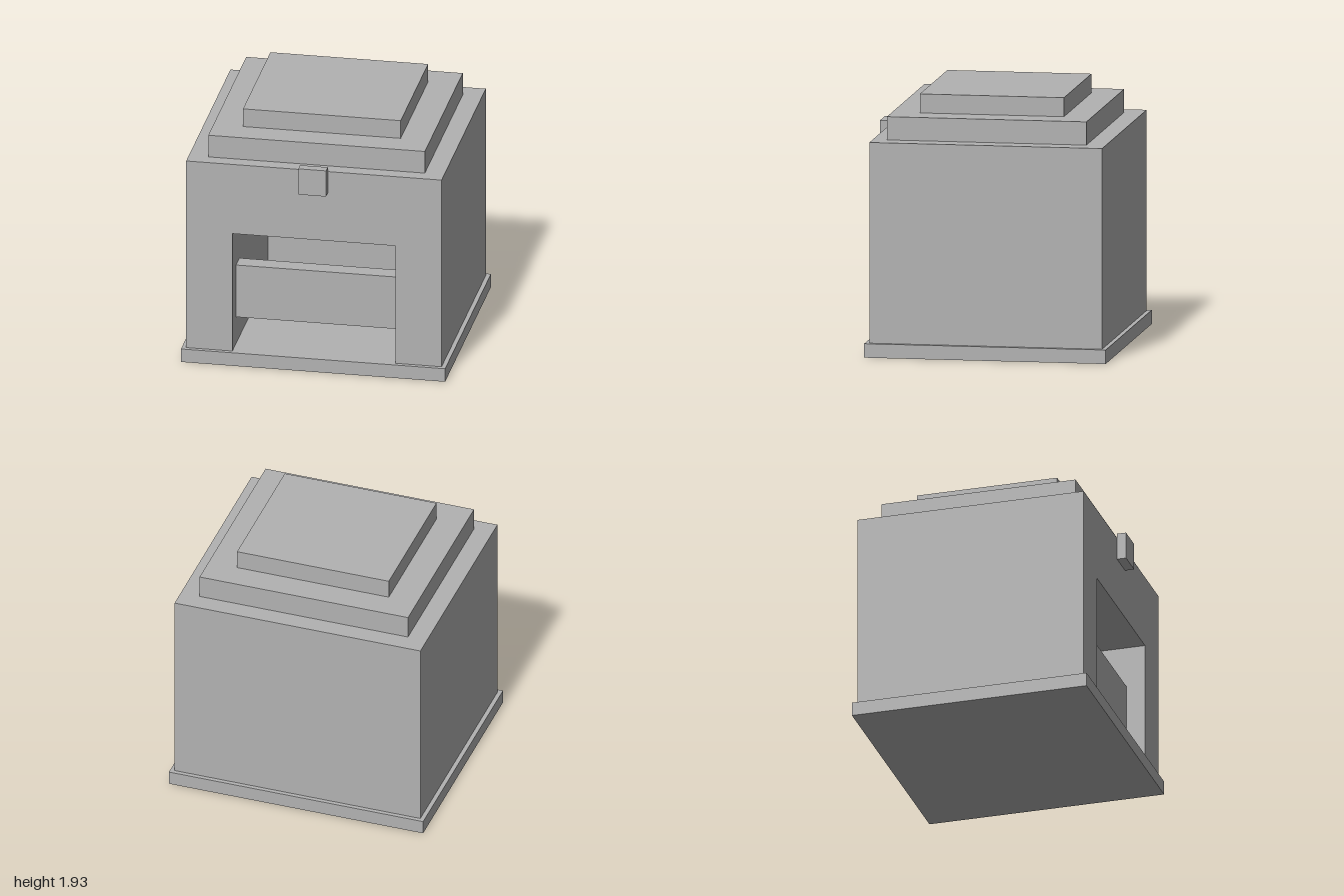
import * as THREE from 'three';

export function createModel() {
  const group = new THREE.Group();
  const stone = new THREE.MeshStandardMaterial({ color: 0xb2b2b2 });
  stone.name = 'grey stone';

  const add = (name, geometry) => {
    const mesh = new THREE.Mesh(geometry, stone);
    mesh.name = name;
    group.add(mesh);
    return mesh;
  };

  // Box given by its lower and upper limits on each axis
  const block = (name, [x0, x1], [y0, y1], [z0, z1]) => {
    const mesh = add(name, new THREE.BoxGeometry(x1 - x0, y1 - y0, z1 - z0));
    mesh.position.set((x0 + x1) / 2, (y0 + y1) / 2, (z0 + z1) / 2);
  };

  const baseTop = 0.105, bodyTop = 1.615;
  const bodyHalf = 0.967, openingHalf = 0.617, openingTop = 1.055;
  const front = 0.86, recessBack = -0.55, back = -0.897;

  // Base slab, which is also the floor of the recess
  block('base', [-1, 1], [0, baseTop], [-0.93, 0.893]);

  // Body with a deep opening in the front
  const arch = new THREE.Shape([
    [-bodyHalf, baseTop], [-openingHalf, baseTop],
    [-openingHalf, openingTop], [openingHalf, openingTop],
    [openingHalf, baseTop], [bodyHalf, baseTop],
    [bodyHalf, bodyTop], [-bodyHalf, bodyTop],
  ].map(([x, y]) => new THREE.Vector2(x, y)));
  add('body', new THREE.ExtrudeGeometry(arch, { depth: front - recessBack, bevelEnabled: false }))
    .position.z = recessBack;
  block('bodyBack', [-bodyHalf, bodyHalf], [baseTop, bodyTop], [back, recessBack]);

  // Bar across the opening
  block('crossbar', [-openingHalf, openingHalf], [0.32, 0.74], [0.58, 0.715]);

  // Stepped roof
  block('lowerRoof', [-0.82, 0.82], [bodyTop, 1.79], [-0.753, 0.753]);
  block('upperRoof', [-0.597, 0.597], [1.79, 1.933], [-0.545, 0.543]);

  // Small block over the opening
  block('frontBlock', [-0.105, 0.105], [1.442, 1.65], [front, 0.93]);

  return group;
}
